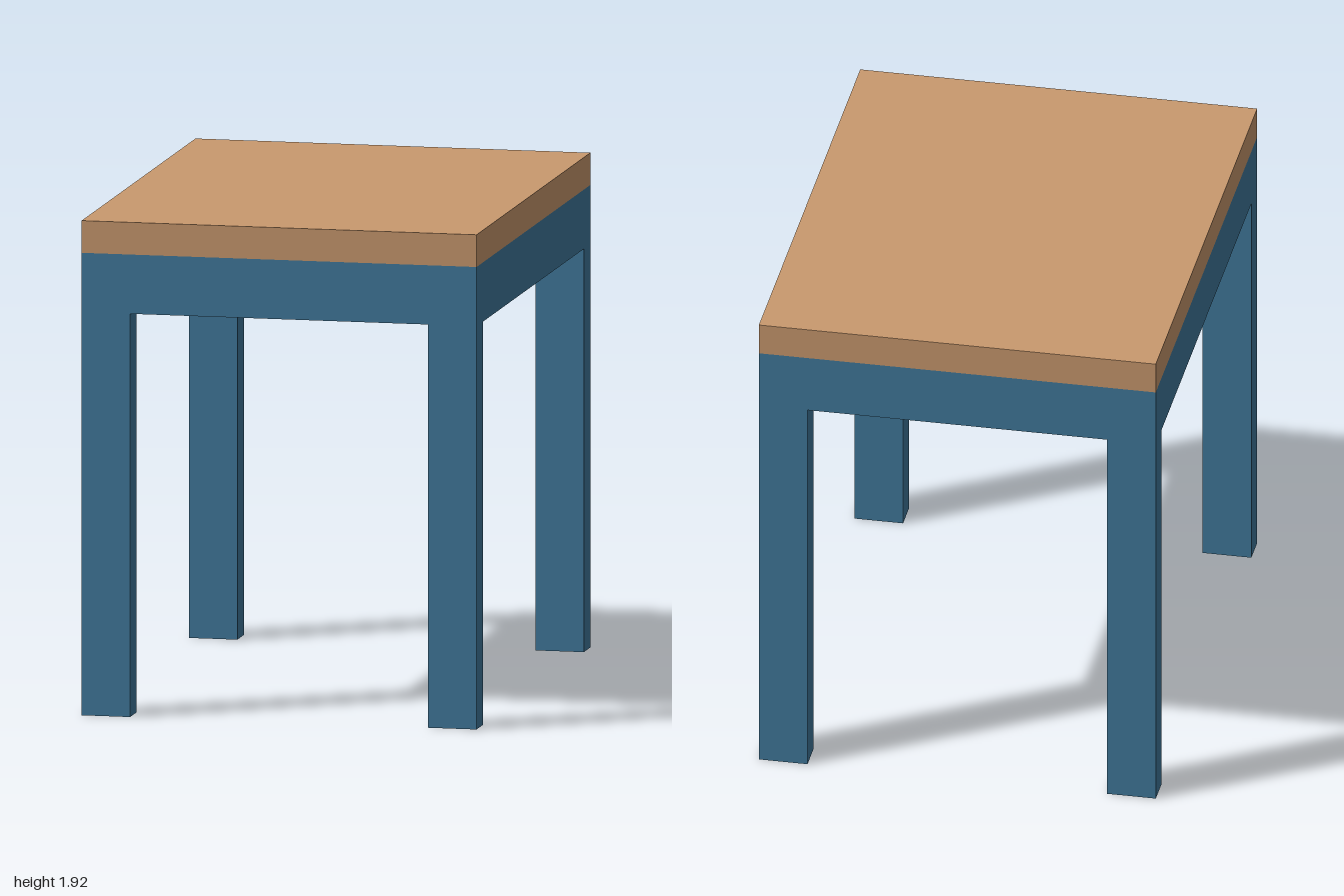
import * as THREE from 'three';

export function createModel() {
  const model = new THREE.Group();
  model.name = 'table';

  const wood = new THREE.MeshStandardMaterial({ color: 0xc9996e });
  wood.name = 'tan wood';
  const paint = new THREE.MeshStandardMaterial({ color: 0x41799c });
  paint.name = 'blue paint';

  const halfWidth = 0.775, halfDepth = 1;
  const apronBottom = 1.565, topBottom = 1.795, topHeight = 1.92;
  const legWidth = 0.19, legDepth = 0.115;

  // Box standing on a given height
  function addBox(name, material, width, depth, bottom, top, x = 0, z = 0) {
    const mesh = new THREE.Mesh(new THREE.BoxGeometry(width, top - bottom, depth), material);
    mesh.name = name;
    mesh.position.set(x, (bottom + top) / 2, z);
    model.add(mesh);
  }

  // Table top and the solid frame under it
  addBox('tableTop', wood, halfWidth * 2, halfDepth * 2, topBottom, topHeight);
  addBox('apron', paint, halfWidth * 2, halfDepth * 2, apronBottom, topBottom);

  // Four legs flush with the outer corners
  for (const [side, sx] of [['Left', 1], ['Right', -1]]) {
    for (const [end, sz] of [['front', 1], ['back', -1]]) {
      addBox(`${end}${side}Leg`, paint, legWidth, legDepth, 0, apronBottom,
        sx * (halfWidth - legWidth / 2), sz * (halfDepth - legDepth / 2));
    }
  }

  return model;
}
